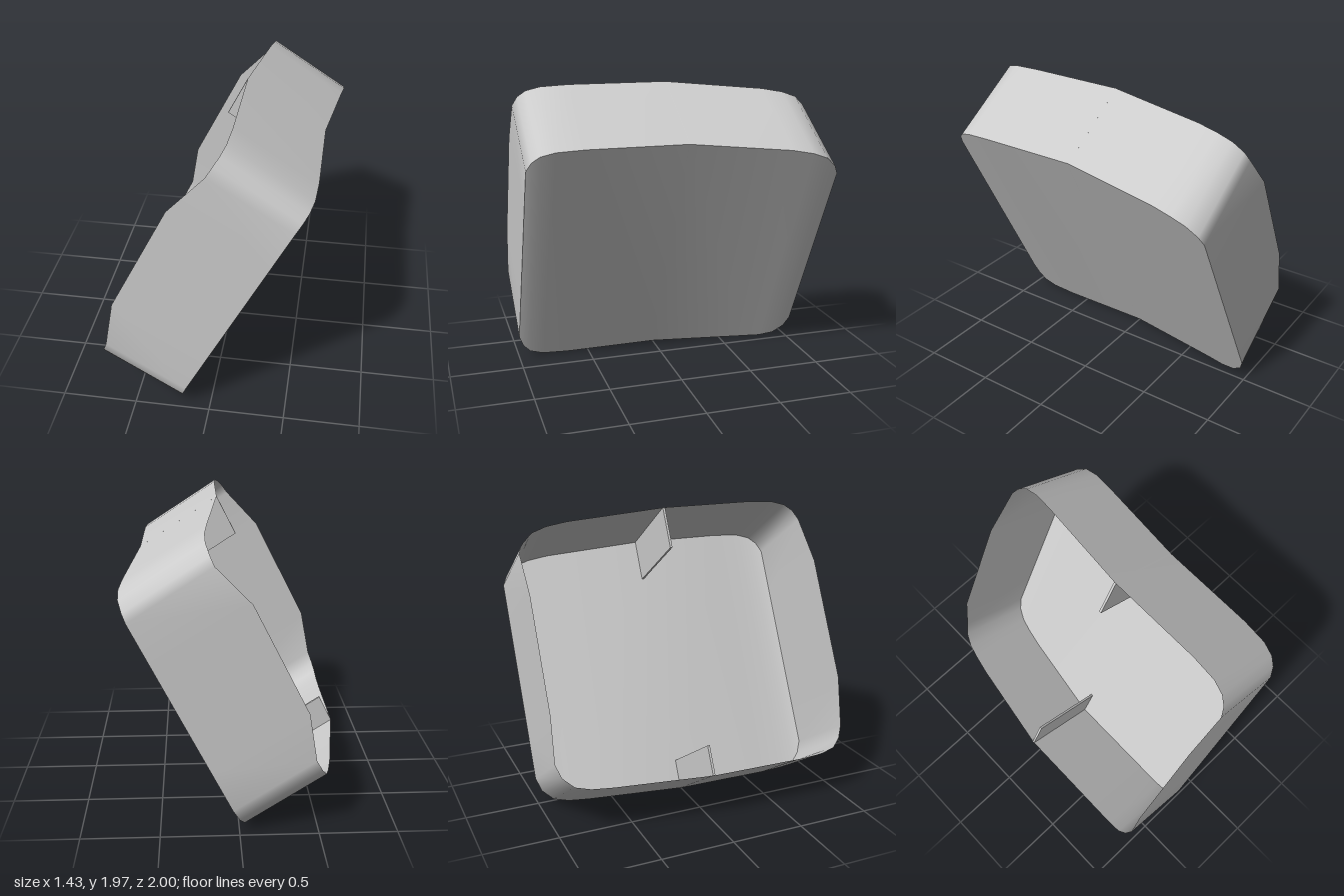
import * as THREE from 'three';

// Leaning tray: "up" runs along its length, "out" is the underside normal, "depth" goes to the rim
const UP = new THREE.Vector3(0.45, 0.893, 0);
const OUT = new THREE.Vector3(0.893, -0.45, 0);
const DEPTH = new THREE.Vector3(-0.515, 0.333, 0);
const BULGE = 0.095;

// Cross-sections from front to back: z, height of lower end, height of upper end, outward bend
const ROWS = [
  [1.0, 0.17, 1.5, -0.035],
  [0.97, 0.09, 1.56, -0.025],
  [0.92, 0.035, 1.6, -0.015],
  [0.83, 0.008, 1.625, -0.005],
  [0.65, 0, 1.635, 0],
  [0, 0.005, 1.635, 0],
  [-0.66, 0.005, 1.575, 0.095],
  [-0.8, 0.008, 1.55, 0.12],
  [-0.9, 0.03, 1.515, 0.133],
  [-0.97, 0.09, 1.455, 0.138],
  [-1.0, 0.17, 1.4, 0.14],
];

// Point on the floor at height y, bent outwards, at depth z
function floorPoint(y, bend, z) {
  const s = (y + 0.45 * bend) / 0.893;
  return new THREE.Vector3(-0.2, 0, z).addScaledVector(UP, s).addScaledVector(OUT, bend);
}

// Surface through rows of points
function skin(rows, material, name) {
  const n = rows[0].length;
  const index = [];
  for (let i = 0; i < rows.length - 1; i++) {
    for (let j = 0; j < n - 1; j++) {
      const a = i * n + j, b = a + n;
      index.push(a, b, a + 1, a + 1, b, b + 1);
    }
  }
  const geometry = new THREE.BufferGeometry().setFromPoints(rows.flat());
  geometry.setIndex(index);
  geometry.computeVertexNormals();
  const mesh = new THREE.Mesh(geometry, material);
  mesh.name = name;
  return mesh;
}

// Thin rib standing in the tray on the centre plane
function rib(corners, material, name) {
  const shape = new THREE.Shape(corners.map(p => new THREE.Vector2(p.x, p.y)));
  const geometry = new THREE.ExtrudeGeometry(shape, { depth: 0.016, bevelEnabled: false });
  geometry.translate(0, 0, -0.008);
  const mesh = new THREE.Mesh(geometry, material);
  mesh.name = name;
  return mesh;
}

export function createModel() {
  const group = new THREE.Group();
  group.name = 'tray';
  const material = new THREE.MeshStandardMaterial({ color: 0xcccccc, side: THREE.DoubleSide });

  // Bent floor
  const lower = ROWS.map(([z, y0, , b]) => floorPoint(y0, b, z));
  const upper = ROWS.map(([z, , y1, b]) => floorPoint(y1, b, z));
  group.add(skin(ROWS.map((_, i) => [lower[i], upper[i]]), material, 'floor'));

  // Wall around the floor; the two long sides rise to a bulged rim
  const base = [], rim = [];
  const add = (p, bulge) => {
    base.push(p);
    rim.push(p.clone().add(DEPTH).addScaledVector(OUT, -bulge));
  };
  const addSide = (from, to) => {
    for (const f of [0.22, 0.78]) add(from.clone().lerp(to, f), BULGE);
  };
  const last = ROWS.length - 1;
  lower.forEach(p => add(p, 0));
  addSide(lower[last], upper[last]);
  [...upper].reverse().forEach(p => add(p, 0));
  addSide(upper[0], lower[0]);
  const n = base.length;
  const wall = skin([base, rim].map(r => [...r, r[0]]), material, 'wall');
  // Close the loop smoothly
  const closed = Array.from(wall.geometry.index.array, i => (i % (n + 1) === n ? i - n : i));
  wall.geometry.setIndex(closed);
  wall.geometry.computeVertexNormals();
  group.add(wall);

  // Ribs inside both end walls
  const mid = ROWS.findIndex(r => r[0] === 0);
  for (const [end, length, name] of [[lower[mid], 0.2, 'lowerRib'], [upper[mid], -0.28, 'upperRib']]) {
    const tip = end.clone().add(DEPTH);
    group.add(rib([
      end, tip,
      tip.clone().addScaledVector(UP, length),
      end.clone().addScaledVector(UP, length),
    ], material, name));
  }
  return group;
}
